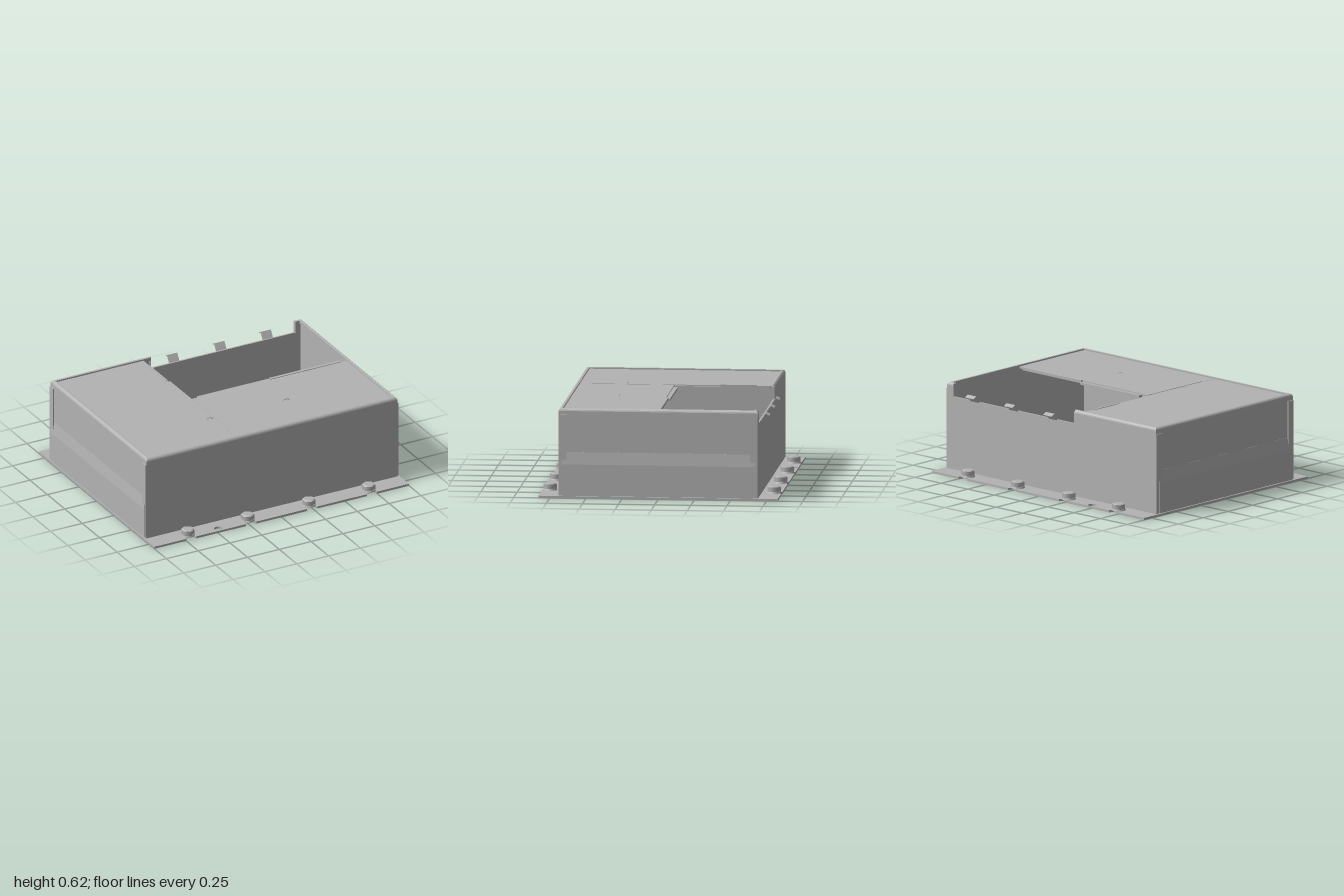
import * as THREE from 'three';

const HX = 0.985, HZ = 0.69; // half sizes of the case

export function createModel() {
  const model = new THREE.Group();
  const steel = new THREE.MeshStandardMaterial({ color: 0xb3b3b3, side: THREE.DoubleSide });
  steel.name = 'grey steel';

  const add = (name, geo, x = 0, y = 0, z = 0) => {
    const mesh = new THREE.Mesh(geo, steel);
    mesh.name = name;
    mesh.position.set(x, y, z);
    model.add(mesh);
    return mesh;
  };
  // box given by its limits
  const slab = (name, x0, x1, y0, y1, z0, z1) =>
    add(name, new THREE.BoxGeometry(x1 - x0, y1 - y0, z1 - z0),
      (x0 + x1) / 2, (y0 + y1) / 2, (z0 + z1) / 2);

  // mitred wall: sweeps [inset, y] points along one side of the case
  const wall = (name, quarter, profile, from = -9, to = 9) => {
    const [half, depth] = quarter % 2 ? [HZ, HX] : [HX, HZ];
    const ends = profile.map(([d, y]) => ({
      a: Math.max(from, d - half), b: Math.min(to, half - d), y, z: depth - d,
    }));
    const pos = [];
    for (let i = 0; i < ends.length - 1; i++) {
      const p = ends[i], q = ends[i + 1];
      pos.push(p.a, p.y, p.z, p.b, p.y, p.z, q.b, q.y, q.z);
      pos.push(p.a, p.y, p.z, q.b, q.y, q.z, q.a, q.y, q.z);
    }
    const geo = new THREE.BufferGeometry();
    geo.setAttribute('position', new THREE.Float32BufferAttribute(pos, 3));
    geo.computeVertexNormals();
    add(name, geo).rotation.y = quarter * Math.PI / 2;
  };

  // base plate with open bolt slots and locating holes
  const boltX = [-0.71, -0.24, 0.24, 0.71];
  const plate = new THREE.Shape();
  plate.moveTo(-1, -0.828);
  for (const x of boltX) {
    plate.lineTo(x - 0.04, -0.828);
    plate.lineTo(x - 0.03, -0.81);
    plate.lineTo(x - 0.03, -0.775);
    plate.absarc(x, -0.775, 0.03, Math.PI, 0, true);
    plate.lineTo(x + 0.03, -0.81);
    plate.lineTo(x + 0.04, -0.828);
  }
  plate.lineTo(1, -0.828);
  plate.lineTo(1, 0.828);
  for (const x of [...boltX].reverse()) {
    plate.lineTo(x + 0.04, 0.828);
    plate.lineTo(x + 0.03, 0.81);
    plate.lineTo(x + 0.03, 0.775);
    plate.absarc(x, 0.775, 0.03, 0, Math.PI, true);
    plate.lineTo(x - 0.03, 0.81);
    plate.lineTo(x - 0.04, 0.828);
  }
  plate.lineTo(-1, 0.828);
  for (const z of [-0.795, 0.795]) {
    plate.holes.push(new THREE.Path().absarc(-0.48, z, 0.03, 0, Math.PI * 2));
  }
  const plateGeo = new THREE.ExtrudeGeometry(plate, { depth: 0.015, bevelEnabled: false, curveSegments: 12 });
  add('basePlate', plateGeo.rotateX(-Math.PI / 2));

  // flanged hex bolts
  for (const x of boltX) {
    for (const z of [-0.775, 0.775]) {
      add('boltShank', new THREE.CylinderGeometry(0.026, 0.026, 0.03, 16), x, 0.016, z);
      add('boltFlange', new THREE.CylinderGeometry(0.046, 0.05, 0.011, 24), x, 0.0205, z);
      add('boltHead', new THREE.CylinderGeometry(0.047, 0.047, 0.032, 6), x, 0.042, z);
      add('boltCrown', new THREE.CylinderGeometry(0.037, 0.046, 0.006, 6), x, 0.06, z);
    }
  }

  // case walls with a rounded, turned-in rim
  const cut = 0.53;
  const rim = [[0, 0.605], [0.003, 0.614], [0.009, 0.621], [0.018, 0.625],
    [0.028, 0.623], [0.028, 0.6], [0.012, 0.6]];
  const full = [[0, 0.015], ...rim, [0.012, 0.015]];
  wall('frontWall', 0, full);
  wall('leftWall', 1, full);
  wall('rightWall', 3, full);

  // back wall, lowered along the opening
  wall('backWall', 2, [[0, 0.015], [0, cut], [0.012, cut], [0.012, 0.015]]);
  const post = [[0, cut], ...rim, [0.012, cut]];
  wall('backWallTop', 2, post, 0.21, 9);
  wall('backCorner', 2, post, -9, -0.925);
  for (const x of [-0.212, 0.925]) slab('cutEdge', x, x + 0.004, cut, 0.62, -HZ + 0.001, -HZ + 0.026);

  // lids and the staggered hinge strips along their edges
  slab('sideLid', -0.965, -0.27, 0.6, 0.613, -0.67, 0.67);
  slab('frontLid', -0.255, 0.965, 0.6, 0.613, 0.008, 0.67);
  slab('hingeStrip', -0.285, -0.27, 0.6, 0.617, -0.56, -0.31);
  slab('hingeStrip', -0.272, -0.252, 0.59, 0.606, -0.31, -0.05);
  slab('hingeStrip', -0.272, -0.255, 0.594, 0.61, -0.05, 0.55);
  slab('hingeStrip', -0.272, -0.255, 0.598, 0.614, 0.55, 0.67);
  slab('hingeStrip', -0.2, 0.36, 0.59, 0.606, -0.02, 0.01);
  slab('hingeStrip', 0.36, 0.91, 0.598, 0.617, -0.01, 0.012);

  // small pull loops on the lids
  for (const x of [-0.3, 0.3]) {
    const loop = new THREE.QuadraticBezierCurve3(
      new THREE.Vector3(-0.028, 0, 0), new THREE.Vector3(0, 0.02, 0), new THREE.Vector3(0.028, 0, 0));
    add('pullLoop', new THREE.TubeGeometry(loop, 8, 0.003, 6), x, 0.612, 0.335);
  }

  // bent spring clips on the lowered back edge
  const bend = new THREE.Shape();
  [[-0.685, 0.525], [-0.72, 0.577], [-0.747, 0.562], [-0.746, 0.558], [-0.721, 0.57], [-0.691, 0.525]]
    .forEach(([z, y], i) => (i ? bend.lineTo(-z, y) : bend.moveTo(-z, y)));
  for (const x of [-0.013, 0.357, 0.722]) {
    const clip = new THREE.ExtrudeGeometry(bend, { depth: 0.08, bevelEnabled: false });
    add('springClip', clip.rotateY(Math.PI / 2), x - 0.04, 0, 0);
  }

  // side skirts with a sloped upper edge, and the folded corner flaps
  const skirt = new THREE.Shape();
  skirt.moveTo(0.98, 0.018);
  skirt.lineTo(0.997, 0.018);
  skirt.lineTo(0.997, 0.235);
  skirt.lineTo(0.986, 0.32);
  skirt.lineTo(0.98, 0.32);
  for (const side of [1, -1]) {
    const geo = new THREE.ExtrudeGeometry(skirt, { depth: 1.34, bevelEnabled: false });
    add('sideSkirt', geo.translate(0, 0, -0.67)).rotation.y = side > 0 ? 0 : Math.PI;
    for (const end of [1, -1]) {
      add('cornerFlap', new THREE.BoxGeometry(0.012, 0.56, 0.052), side * 0.987, 0.3, end * 0.662);
    }
  }
  return model;
}
